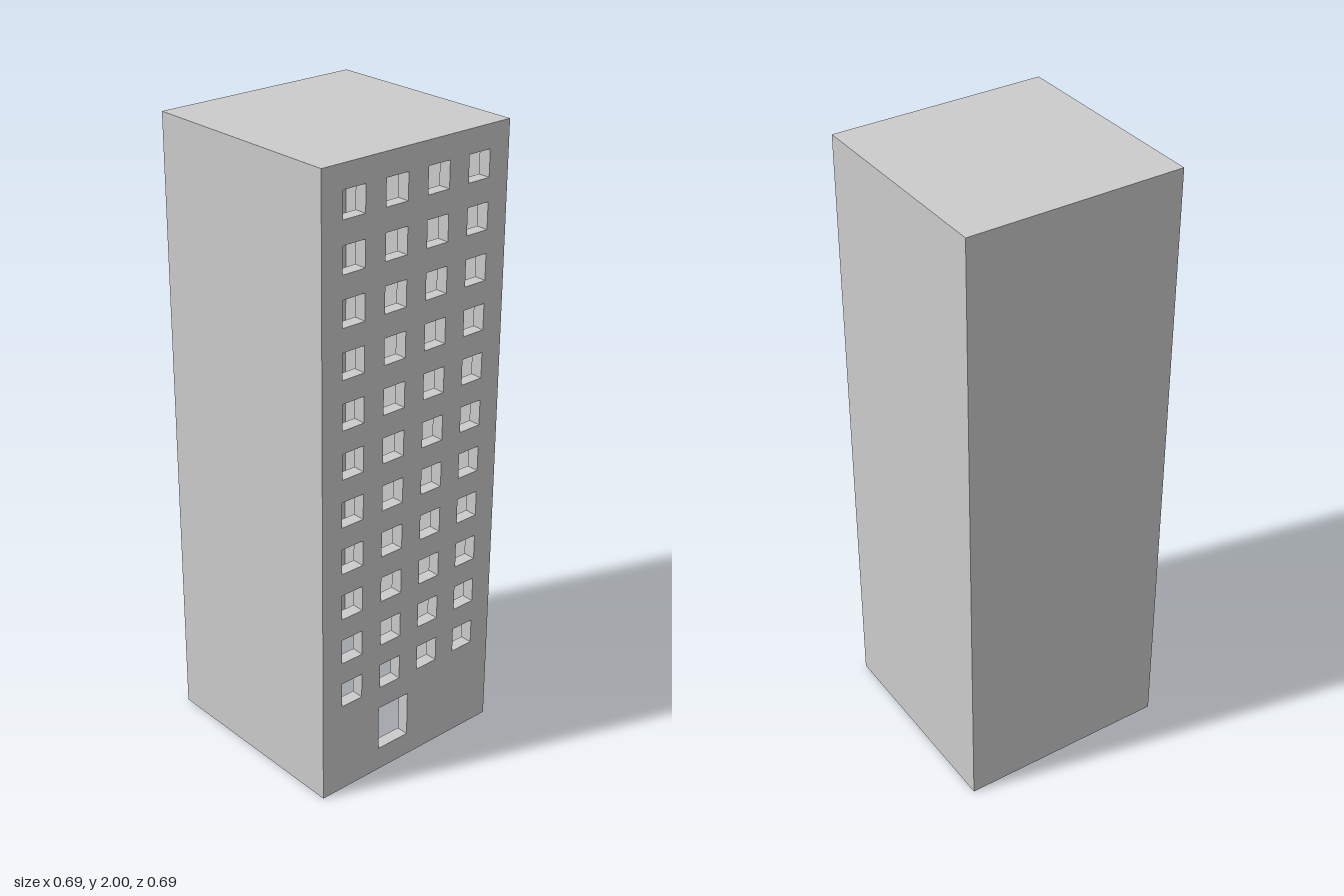
import * as THREE from 'three';

const W = 0.69, H = 2, HALF = W / 2;
const WIN = 0.08, PITCH = 0.154, REVEAL = 0.04;

export function createModel() {
  const building = new THREE.Group();
  building.name = 'towerBlock';
  const mat = new THREE.MeshStandardMaterial({ color: 0xcccccc, side: THREE.DoubleSide });

  const add = (name, geometry, parent = building) => {
    const mesh = new THREE.Mesh(geometry, mat);
    mesh.name = name;
    parent.add(mesh);
    return mesh;
  };

  // Openings: one door and an 11 x 4 grid of windows
  const openings = [{ name: 'doorReveal', x: -0.06, y: 0.154, w: 0.12, h: 0.152 }];
  for (let row = 0; row < 11; row++) {
    for (let col = 0; col < 4; col++) {
      openings.push({
        name: 'windowReveal',
        x: (col - 1.5) * PITCH, y: 0.346 + row * PITCH, w: WIN, h: WIN + 0.002,
      });
    }
  }

  // Thin front wall pierced by the openings
  const wall = new THREE.Shape();
  wall.moveTo(-HALF, 0).lineTo(HALF, 0).lineTo(HALF, H).lineTo(-HALF, H).closePath();
  for (const { x, y, w, h } of openings) {
    const hole = new THREE.Path();
    hole.moveTo(x - w / 2, y - h / 2).lineTo(x - w / 2, y + h / 2);
    hole.lineTo(x + w / 2, y + h / 2).lineTo(x + w / 2, y - h / 2).closePath();
    wall.holes.push(hole);
  }
  add('frontWall', new THREE.ShapeGeometry(wall)).position.z = HALF;

  // Open-ended reveals running inward from each opening
  for (const { name, x, y, w, h } of openings) {
    const reveal = new THREE.Group();
    reveal.name = name;
    reveal.position.set(x, y, HALF - REVEAL / 2);
    building.add(reveal);
    for (const s of [-1, 1]) {
      const jamb = add(s < 0 ? 'rightJamb' : 'leftJamb', new THREE.PlaneGeometry(REVEAL, h), reveal);
      jamb.position.x = s * w / 2;
      jamb.rotation.y = -s * Math.PI / 2;
      const ledge = add(s < 0 ? 'sill' : 'head', new THREE.PlaneGeometry(w, REVEAL), reveal);
      ledge.position.y = s * h / 2;
      ledge.rotation.x = s * Math.PI / 2;
    }
  }

  // Plain side walls, back wall and roof; the base is open
  for (const s of [-1, 1]) {
    const side = add(s < 0 ? 'rightWall' : 'leftWall', new THREE.PlaneGeometry(W, H));
    side.position.set(s * HALF, H / 2, 0);
    side.rotation.y = s * Math.PI / 2;
  }
  const back = add('backWall', new THREE.PlaneGeometry(W, H));
  back.position.set(0, H / 2, -HALF);
  back.rotation.y = Math.PI;
  const roof = add('roof', new THREE.PlaneGeometry(W, W));
  roof.position.y = H;
  roof.rotation.x = -Math.PI / 2;

  return building;
}
